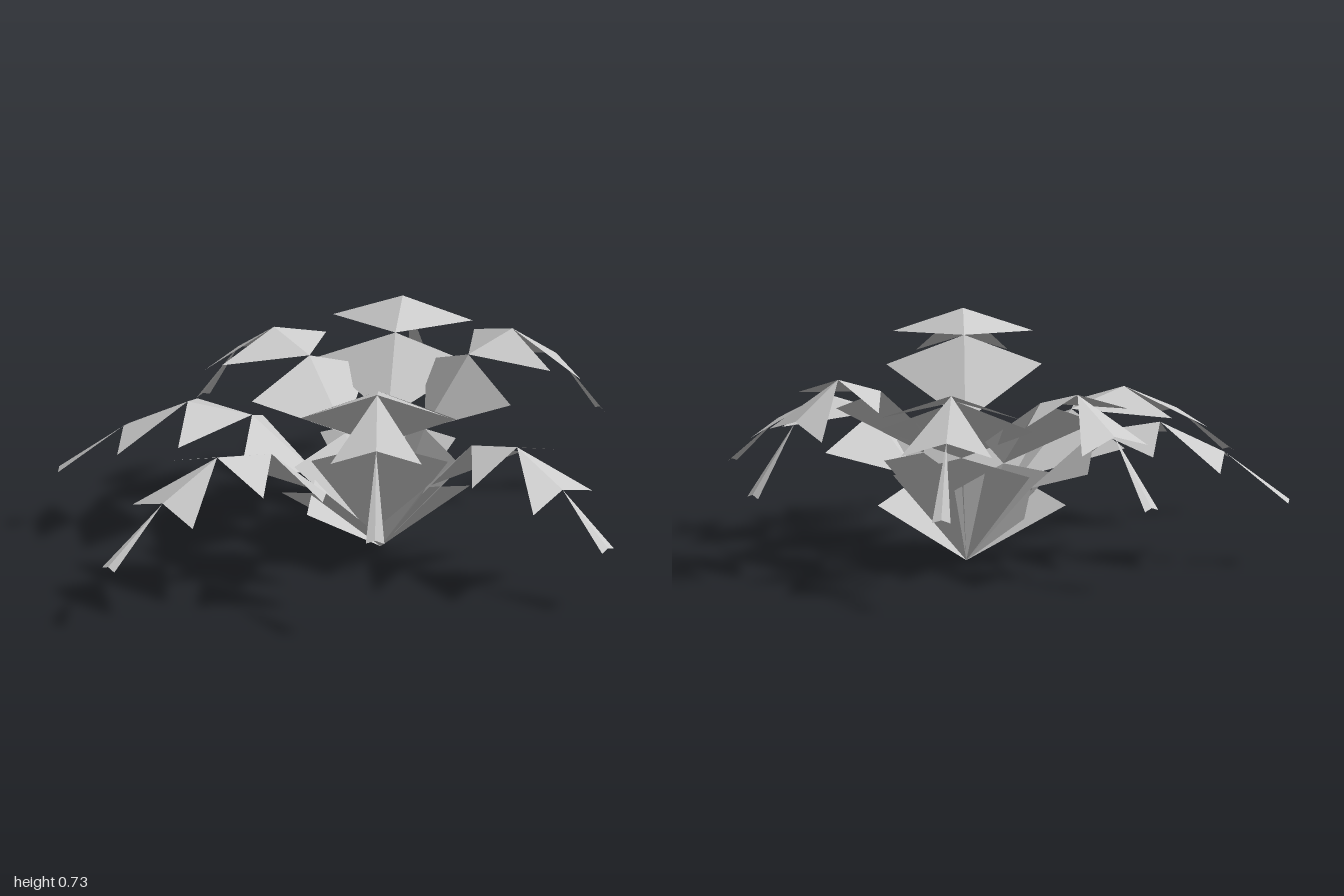
import * as THREE from 'three';

const ROOT = new THREE.Vector3(-0.04, 0, -0.16);

// half width of each leaflet's outer edge, and how far its corners droop below the ridge
const HALF_WIDTH = [0.22, 0.25, 0.226, 0.147, 0.03];
const DROOP = [0.06, 0.095, 0.075, 0.045, 0.01];

// tip position on the ground plane and the ridge height at each of the five joints
const FRONDS = [
  { name: 'frondBack', tip: [0.0, -1.0], heights: [0.37, 0.59, 0.645, 0.525, 0.305] },
  { name: 'frondBackRight', tip: [-0.742, -0.81], heights: [0.37, 0.59, 0.645, 0.525, 0.31] },
  { name: 'frondRight', tip: [-0.887, -0.065], heights: [0.34, 0.56, 0.61, 0.495, 0.285] },
  { name: 'frondFrontRight', tip: [-0.76, 0.595], heights: [0.24, 0.43, 0.465, 0.37, 0.22] },
  { name: 'frondFront', tip: [0.07, 0.997], heights: [0.24, 0.435, 0.48, 0.38, 0.22] },
  { name: 'frondFrontLeft', tip: [0.675, 0.375], heights: [0.42, 0.67, 0.725, 0.6, 0.36] },
  { name: 'frondLeft', tip: [0.88, -0.4], heights: [0.25, 0.44, 0.48, 0.38, 0.225] },
];

// tent-shaped leaflet: two triangles sharing a ridge, pointed at the inner end
function leaflet(start, end, side, halfWidth, droop) {
  const corner = (s) => end.clone().addScaledVector(side, s * halfWidth).setY(end.y - droop);
  const geometry = new THREE.BufferGeometry().setFromPoints([
    start, corner(1), end,
    start, end, corner(-1),
  ]);
  geometry.computeVertexNormals();
  return geometry;
}

export function createModel() {
  const plant = new THREE.Group();
  plant.name = 'fernPlant';
  const material = new THREE.MeshStandardMaterial({
    color: 0xcccccc, flatShading: true, side: THREE.DoubleSide,
  });

  for (const { name, tip, heights } of FRONDS) {
    const frond = new THREE.Group();
    frond.name = name;
    const reach = new THREE.Vector3(tip[0], 0, tip[1]).sub(ROOT);
    const side = new THREE.Vector3(reach.z, 0, -reach.x).normalize();

    // evenly spaced joints along an arching ridge
    const joints = [ROOT.clone()];
    heights.forEach((y, i) => {
      joints.push(ROOT.clone().addScaledVector(reach, (i + 1) / heights.length).setY(y));
    });

    for (let i = 0; i < heights.length; i++) {
      const mesh = new THREE.Mesh(
        leaflet(joints[i], joints[i + 1], side, HALF_WIDTH[i], DROOP[i]), material);
      mesh.name = i === heights.length - 1 ? 'leafTip' : 'leaflet';
      frond.add(mesh);
    }
    plant.add(frond);
  }
  return plant;
}
